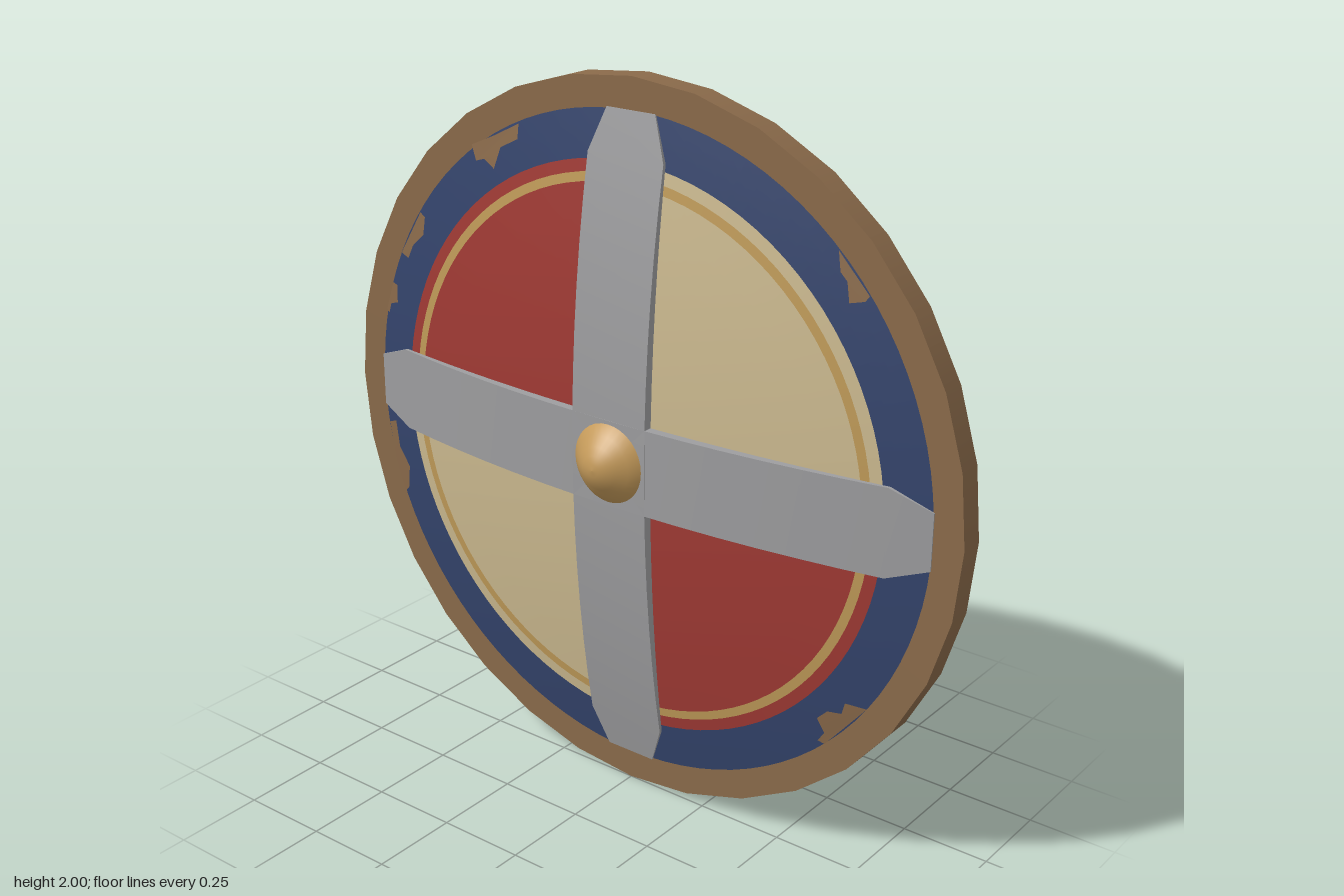
import * as THREE from 'three';

const flat = (name, color) => {
  const m = new THREE.MeshStandardMaterial({ color });
  m.name = name;
  return m;
};

export function createModel() {
  const wood = flat('wood', 0x8a6a4a);
  const steel = flat('steel', 0x9d9d9f);
  const red = flat('red paint', 0xa03a34);
  const cream = flat('cream paint', 0xcbb98f);
  const blue = flat('blue paint', 0x34446c);
  const gold = flat('gold paint', 0xbf9a58);
  const brass = flat('brass', 0xc49a5a);

  const shield = new THREE.Group();
  shield.name = 'roundShield';
  shield.position.y = 1;
  const add = (name, geometry, material) => {
    const mesh = new THREE.Mesh(geometry, material);
    mesh.name = name;
    shield.add(mesh);
    return mesh;
  };

  // Wooden board with its flat rim
  add('board', new THREE.CylinderGeometry(1, 1, 0.07, 32).rotateX(Math.PI / 2).translate(0, 0, -0.035), wood);

  // Shallow painted dome, cut into rings and quarters
  const R = 0.915;
  const domeZ = (r) => 0.075 * (1 - (r / R) ** 2);
  const ring = (name, outer, inner, material, steps, start = 0, sweep = Math.PI * 2) => {
    const profile = [];
    for (let i = 0; i <= steps; i++) {
      const r = outer + (inner - outer) * i / steps;
      profile.push(new THREE.Vector2(r, domeZ(r)));
    }
    const segments = Math.round(96 * sweep / (Math.PI * 2));
    add(name, new THREE.LatheGeometry(profile, segments, start, sweep).rotateX(Math.PI / 2), material);
  };
  ring('blueBorder', R, 0.79, blue, 3);
  ring('goldRing', 0.757, 0.732, gold, 1);
  for (let q = 0; q < 4; q++) {
    const paint = q % 2 ? cream : red;
    ring('quarterEdge', 0.79, 0.757, paint, 1, q * Math.PI / 2, Math.PI / 2);
    ring('quarterField', 0.732, 0, paint, 8, q * Math.PI / 2, Math.PI / 2);
  }

  // Patches of bare wood where the border paint is chipped
  const chips = [
    [[-.54, .75], [-.52, .71], [-.49, .72], [-.45, .70], [-.43, .76], [-.37, .79], [-.37, .83], [-.46, .785]],
    [[-.74, .53], [-.72, .52], [-.725, .47], [-.77, .43], [-.79, .39], [-.82, .40]],
    [[-.86, .305], [-.84, .30], [-.84, .25], [-.87, .24], [-.88, .21], [-.89, .22]],
    [[-.90, -.13], [-.87, -.12], [-.86, -.20], [-.82, -.25], [-.83, -.32], [-.85, -.34], [-.885, -.24]],
    [[.62, .67], [.63, .62], [.65, .60], [.66, .55], [.70, .56], [.71, .575]],
    [[.76, -.51], [.70, -.51], [.69, -.545], [.65, -.55], [.62, -.58], [.64, -.62], [.62, -.65], [.64, -.655]],
  ];
  for (const outline of chips) {
    const shape = new THREE.Shape(outline.map(([x, y]) => new THREE.Vector2(x, y)));
    const g = new THREE.ShapeGeometry(shape);
    const p = g.attributes.position;
    for (let i = 0; i < p.count; i++) p.setZ(i, domeZ(Math.hypot(p.getX(i), p.getY(i))) + 0.003);
    g.computeVertexNormals();
    add('paintChip', g, wood);
  }

  // Curved strap with tapered ends, bulging towards +z
  const strap = (half, rise, innerZ) => {
    const g = new THREE.BoxGeometry(half * 2, 0.24, 1, 16, 1, 1);
    const p = g.attributes.position;
    for (let i = 0; i < p.count; i++) {
      const t = Math.abs(p.getX(i)) / half;
      if (t > 0.99) p.setY(i, p.getY(i) * 0.64);
      const outer = rise * (1 - t * t) + 0.003;
      p.setZ(i, p.getZ(i) > 0 ? outer : innerZ(outer));
    }
    g.computeVertexNormals();
    return g;
  };

  // Steel cross on the front
  add('crossBarHorizontal', strap(0.915, 0.097, () => -0.005), steel);
  add('crossBarVertical', strap(0.915, 0.097, () => -0.005).rotateZ(Math.PI / 2), steel);

  // Central boss
  const bossProfile = [[0.112, 0.085], [0.11, 0.1], [0.085, 0.122], [0.06, 0.143], [0.038, 0.157], [0.018, 0.164], [0, 0.166]]
    .map(([r, z]) => new THREE.Vector2(r, z));
  add('boss', new THREE.LatheGeometry(bossProfile, 32).rotateX(Math.PI / 2), brass);

  // Bowed wooden grip across the back
  const grip = add('backGrip', strap(0.89, 0.092, (outer) => outer - 0.024), wood);
  grip.rotation.y = Math.PI;
  grip.position.z = -0.07;

  const model = new THREE.Group();
  model.name = 'shieldModel';
  model.add(shield);
  return model;
}
